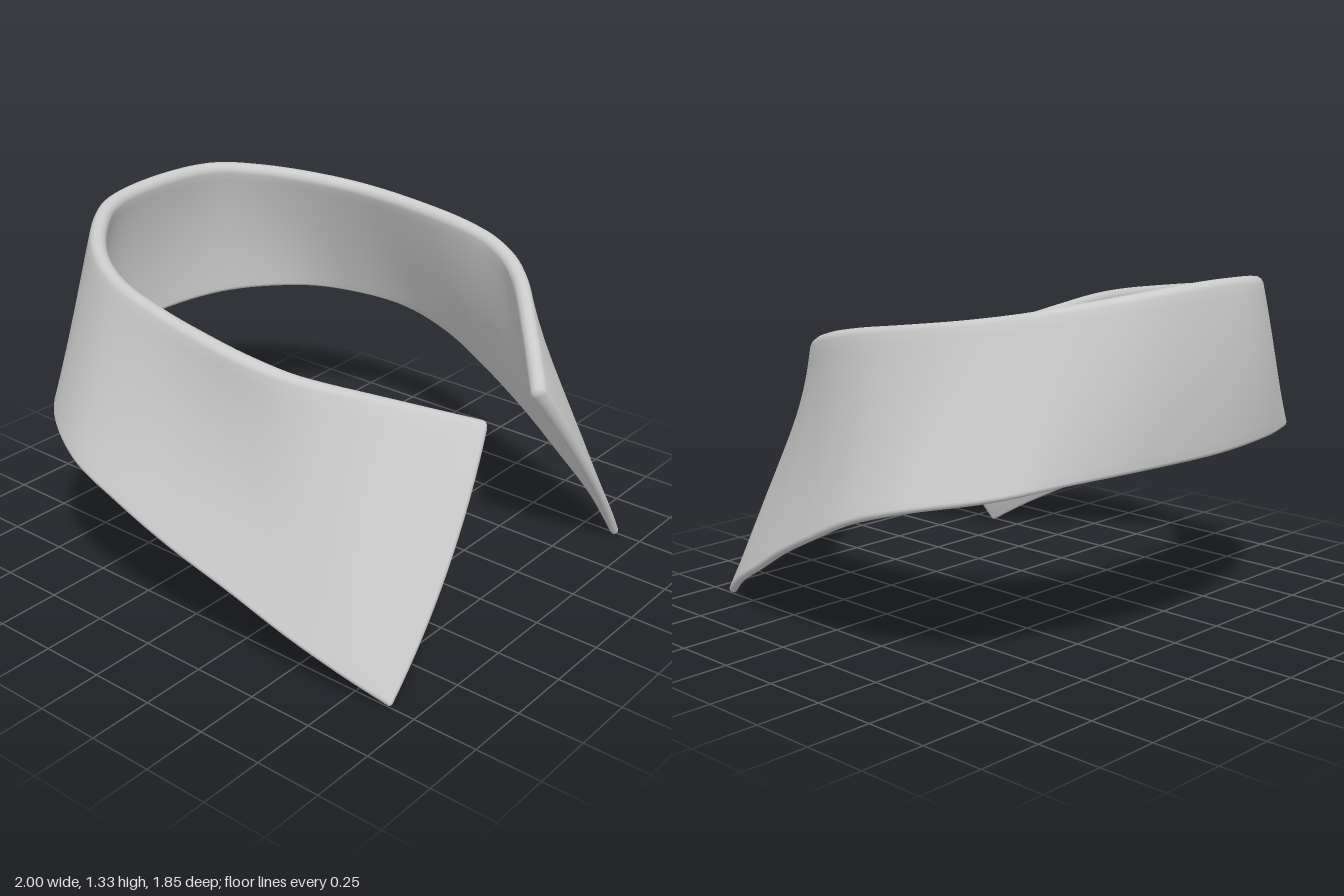
import * as THREE from 'three';

// Left half, back centre to front point: upper edge, lower edge, outward bulge (x, z) at mid height
const stations = [
  [[0, 1.30, -0.86], [0, 0.75, -0.91], [0, -0.02]],
  [[0.27, 1.29, -0.835], [0.33, 0.745, -0.868], [0.0, -0.02]],
  [[0.45, 1.262, -0.73], [0.60, 0.72, -0.76], [0.0, -0.015]],
  [[0.60, 1.225, -0.57], [0.81, 0.68, -0.62], [0.0, 0]],
  [[0.70, 1.19, -0.37], [0.955, 0.625, -0.37], [-0.005, 0]],
  [[0.745, 1.155, -0.13], [0.985, 0.55, -0.13], [-0.01, 0]],
  [[0.755, 1.12, 0.10], [0.965, 0.445, 0.10], [-0.025, 0]],
  [[0.73, 1.08, 0.28], [0.92, 0.335, 0.33], [-0.035, -0.01]],
  [[0.64, 1.02, 0.44], [0.87, 0.22, 0.54], [-0.025, 0]],
  [[0.42, 0.92, 0.64], [0.81, 0.115, 0.74], [0.0, 0.025]],
  [[0.17, 0.81, 0.85], [0.735, 0.015, 0.90], [0.0, 0.035]],
];

// Curve through one item of every station, mirrored to run from the right point to the left point
function mirroredCurve(pick) {
  const half = stations.map((s) => new THREE.Vector3(...pick(s)));
  const other = half.slice(1).reverse().map((p) => new THREE.Vector3(-p.x, p.y, p.z));
  return new THREE.CatmullRomCurve3([...other, ...half], false, 'catmullrom', 0.5);
}

const upper = mirroredCurve((s) => s[0]);
const lower = mirroredCurve((s) => s[1]);
const bulge = mirroredCurve((s) => [s[2][0], 0, s[2][1]]);

// Middle of the cloth: t runs round the neck, v runs from fold to hem
function sheet(t, v) {
  return upper.getPoint(t).lerp(lower.getPoint(t), v)
    .addScaledVector(bulge.getPoint(t), 4 * v * (1 - v));
}

// Outward normal and downward direction of the sheet
function frame(t, v) {
  const e = 0.004;
  const diff = (a, b) => a.sub(b).normalize();
  const along = diff(sheet(Math.min(1, t + e), v), sheet(Math.max(0, t - e), v));
  const down = diff(sheet(t, Math.min(1, v + e)), sheet(t, Math.max(0, v - e)));
  return { down, out: along.cross(down).normalize() };
}

function collarGeometry() {
  // Rounded cross-section as [v, outward, downward]
  const section = [];
  const rows = 16, cap = 6;
  for (let i = 0; i <= rows; i++) section.push([i / rows, 1, 0]);
  for (let i = 1; i < cap; i++) {
    const a = (Math.PI * i) / cap;
    section.push([1, Math.cos(a), Math.sin(a)]);
  }
  for (let i = rows; i >= 0; i--) section.push([i / rows, -1, 0]);
  for (let i = 1; i < cap; i++) {
    const a = (Math.PI * i) / cap;
    section.push([0, -Math.cos(a), -Math.sin(a)]);
  }

  // Steps round the neck as [t, thickness scale], rounded off at both front edges
  const steps = [];
  const columns = 120, edge = 0.003, round = 6;
  for (let i = 0; i < round; i++) {
    const a = (Math.PI / 2) * (i / round);
    steps.push([edge * (1 - Math.cos(a)), Math.sin(a)]);
  }
  for (let i = 0; i <= columns; i++) steps.push([edge + (1 - 2 * edge) * (i / columns), 1]);
  for (let i = round - 1; i >= 0; i--) steps.push([1 - steps[i][0], steps[i][1]]);

  const positions = [], index = [], n = section.length;
  steps.forEach(([t, scale], i) => {
    section.forEach(([v, o, d], j) => {
      const h = scale * (0.016 + 0.016 * (1 - v) ** 2);
      const { out, down } = frame(t, v);
      const p = sheet(t, v).addScaledVector(out, o * h).addScaledVector(down, d * h);
      positions.push(p.x, p.y, p.z);
      if (i === steps.length - 1) return;
      const a = i * n + j, b = i * n + ((j + 1) % n);
      index.push(a, a + n, b, b, a + n, b + n);
    });
  });

  const geometry = new THREE.BufferGeometry();
  geometry.setAttribute('position', new THREE.Float32BufferAttribute(positions, 3));
  geometry.setIndex(index);
  geometry.computeVertexNormals();
  return geometry;
}

export function createModel() {
  const group = new THREE.Group();
  group.name = 'shirtCollar';
  const material = new THREE.MeshStandardMaterial({ color: 0xcccccc, side: THREE.DoubleSide });
  const collar = new THREE.Mesh(collarGeometry(), material);
  collar.name = 'collar';
  group.add(collar);
  return group;
}
